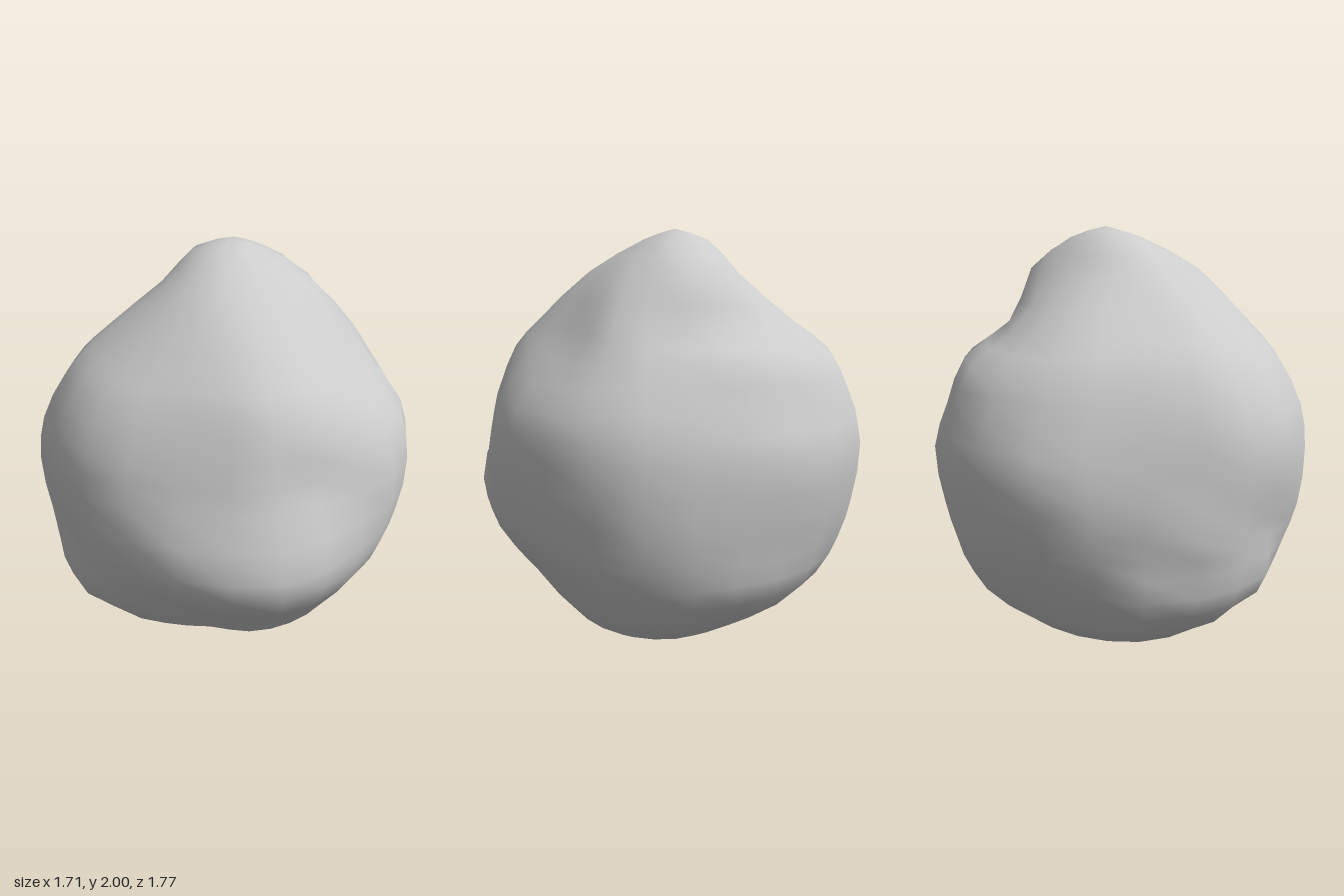
import * as THREE from 'three';

// Rock cross-sections from top to bottom: [height, radius every 30 degrees from +x towards +z]
const RINGS = [
  [1.95, 0.09, 0.07, 0.06, 0.06, 0.08, 0.12, 0.17, 0.21, 0.24, 0.26, 0.22, 0.14],
  [1.80, 0.34, 0.33, 0.33, 0.34, 0.33, 0.32, 0.32, 0.35, 0.39, 0.44, 0.46, 0.40],
  [1.57, 0.52, 0.56, 0.59, 0.56, 0.61, 0.64, 0.59, 0.65, 0.63, 0.54, 0.55, 0.61],
  [1.45, 0.63, 0.67, 0.70, 0.65, 0.74, 0.76, 0.69, 0.77, 0.82, 0.72, 0.64, 0.69],
  [1.25, 0.81, 0.77, 0.78, 0.74, 0.85, 0.87, 0.77, 0.87, 0.92, 0.80, 0.74, 0.81],
  [1.05, 0.85, 0.81, 0.83, 0.80, 0.88, 0.90, 0.81, 0.92, 0.97, 0.88, 0.80, 0.85],
  [0.78, 0.82, 0.83, 0.92, 0.88, 0.86, 0.87, 0.84, 0.89, 0.94, 0.85, 0.81, 0.83],
  [0.60, 0.76, 0.78, 0.86, 0.79, 0.80, 0.84, 0.82, 0.82, 0.89, 0.81, 0.79, 0.79],
  [0.40, 0.61, 0.63, 0.62, 0.60, 0.71, 0.79, 0.76, 0.72, 0.79, 0.76, 0.73, 0.70],
  [0.18, 0.45, 0.43, 0.39, 0.35, 0.44, 0.53, 0.56, 0.55, 0.54, 0.49, 0.51, 0.50],
  [0.07, 0.22, 0.21, 0.18, 0.16, 0.16, 0.17, 0.17, 0.20, 0.24, 0.26, 0.26, 0.25],
];
// Local knobs and dents: centre, reach and outward push
const BUMPS = [
  { at: [0.84, 1.0, 0.2], reach: 0.17, push: 0.025 },
  { at: [0.58, 1.12, 0.54], reach: 0.13, push: -0.05 },
  { at: [-0.62, 0.76, 0.55], reach: 0.13, push: -0.04 },
  { at: [-0.62, 0.45, 0.6], reach: 0.18, push: 0.025 },
  { at: [-0.81, 0.45, 0.08], reach: 0.15, push: 0.04 },
  { at: [-0.84, 0.77, 0.2], reach: 0.14, push: 0.035 },
  { at: [-0.82, 0.72, -0.08], reach: 0.13, push: -0.04 },
  { at: [-0.2, 0.75, 0.82], reach: 0.15, push: -0.025 },
  { at: [-0.75, 1.05, -0.55], reach: 0.17, push: 0.025 },
];
const TOP = new THREE.Vector3(-0.01, 2, -0.1);
const BOTTOM = new THREE.Vector3(0.02, 0, 0);
const SIDES = 24;
const STEPS = (RINGS.length + 1) * 2;

// Smooth closed loop through one cross-section
function ringCurve([y, ...radii]) {
  const points = radii.map((r, k) => {
    const a = (k / radii.length) * Math.PI * 2;
    return new THREE.Vector3(r * Math.cos(a), y, r * Math.sin(a));
  });
  return new THREE.CatmullRomCurve3(points, true);
}

// Push a surface point away from or towards the vertical axis near each bump
function addBumps(p) {
  const outward = new THREE.Vector3(p.x, 0, p.z).normalize();
  let push = 0;
  for (const b of BUMPS) {
    const d = p.distanceTo(new THREE.Vector3(...b.at)) / b.reach;
    push += b.push * Math.exp(-d * d);
  }
  return p.clone().addScaledVector(outward, push);
}

// Skin the loops with vertical curves that meet at the two poles
function rockGeometry() {
  const loops = RINGS.map(ringCurve);
  const columns = [];
  for (let j = 0; j < SIDES; j++) {
    const path = [TOP, ...loops.map((c) => c.getPoint(j / SIDES)), BOTTOM];
    columns.push(new THREE.CatmullRomCurve3(path).getPoints(STEPS));
  }

  const positions = [...TOP.toArray()];
  for (let i = 1; i < STEPS; i++) {
    for (let j = 0; j < SIDES; j++) positions.push(...addBumps(columns[j][i]).toArray());
  }
  positions.push(...BOTTOM.toArray());

  const last = positions.length / 3 - 1;
  const at = (i, j) => (i === 0 ? 0 : i === STEPS ? last : 1 + (i - 1) * SIDES + (j % SIDES));
  const index = [];
  for (let i = 0; i < STEPS; i++) {
    for (let j = 0; j < SIDES; j++) {
      const a = at(i, j), b = at(i, j + 1), c = at(i + 1, j), d = at(i + 1, j + 1);
      if (i > 0) index.push(a, b, c);
      if (i < STEPS - 1) index.push(b, d, c);
    }
  }

  const geometry = new THREE.BufferGeometry();
  geometry.setAttribute('position', new THREE.Float32BufferAttribute(positions, 3));
  geometry.setIndex(index);
  geometry.computeVertexNormals();
  return geometry;
}

export function createModel() {
  const group = new THREE.Group();
  group.name = 'boulder';
  const rock = new THREE.Mesh(rockGeometry(), new THREE.MeshStandardMaterial({ color: 0xcccccc }));
  rock.name = 'rock';
  group.add(rock);
  return group;
}
